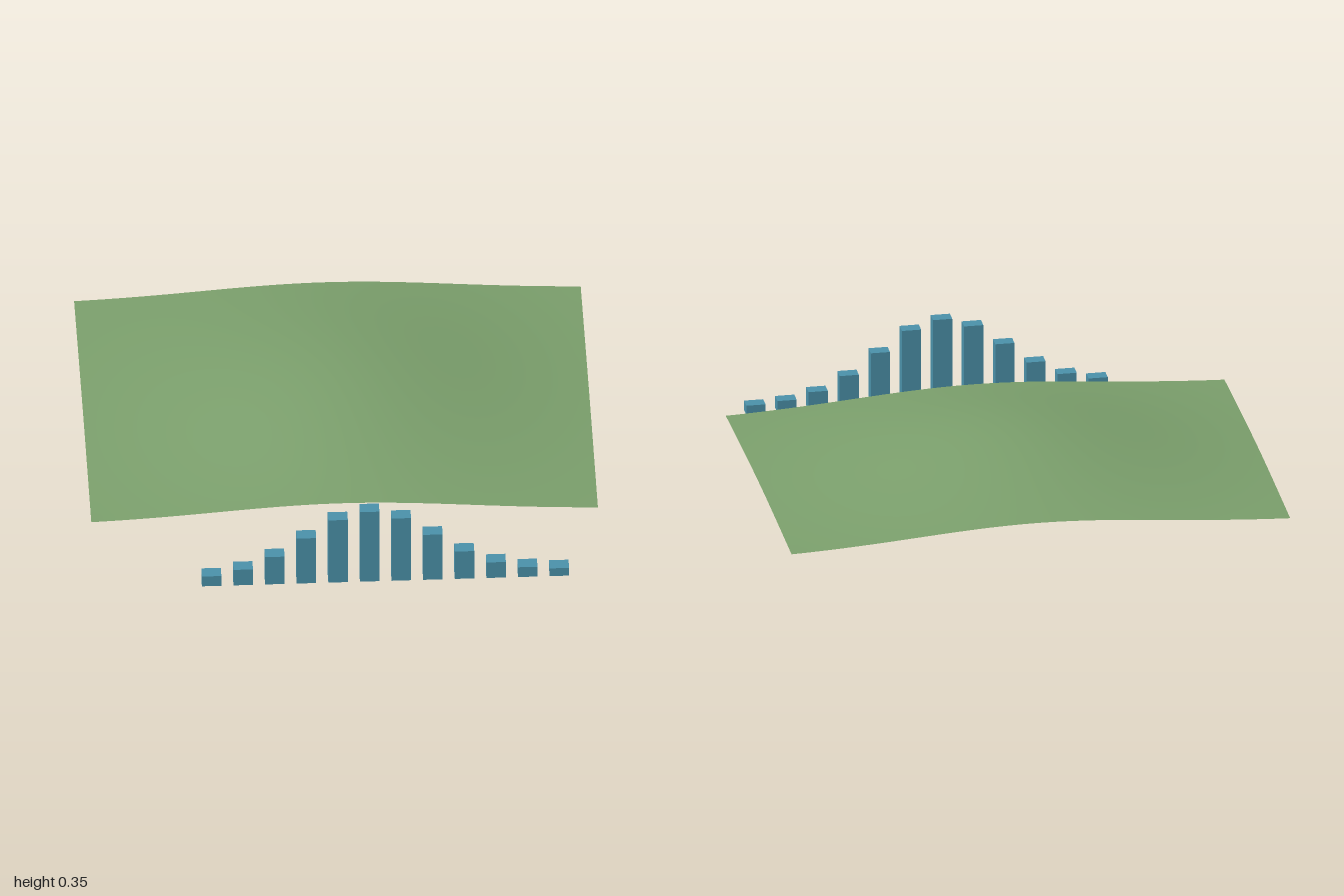
import * as THREE from 'three';

const CENTRE_Z = -0.148;

// Gently domed rectangular sheet
function makeSheet() {
  const geometry = new THREE.PlaneGeometry(2, 1.422, 48, 36).rotateX(-Math.PI / 2);
  const p = geometry.attributes.position;
  for (let i = 0; i < p.count; i++) {
    const x = p.getX(i), z = p.getZ(i);
    p.setY(i, 0.098 + 0.167 * Math.exp(-2.04 * x * x - 1.82 * z * z));
  }
  geometry.computeVertexNormals();
  const sheet = new THREE.Mesh(geometry, new THREE.MeshStandardMaterial({ color: 0x7a9e6b, side: THREE.DoubleSide }));
  sheet.name = 'domedSheet';
  sheet.position.z = CENTRE_Z;
  return sheet;
}

// Slightly bowed, capped pipe under the sheet
function makePipe(material) {
  const radius = 0.028;
  const curve = new THREE.CatmullRomCurve3([
    new THREE.Vector3(-0.667, 0.09, -0.146),
    new THREE.Vector3(0.02, 0.072, -0.19),
    new THREE.Vector3(0.706, 0.056, -0.146),
  ]);
  const pipe = new THREE.Group();
  pipe.name = 'pipe';
  const wall = new THREE.Mesh(new THREE.TubeGeometry(curve, 40, radius, 16), material);
  wall.name = 'pipeWall';
  pipe.add(wall);
  for (const [t, direction] of [[0, -1], [1, 1]]) {
    const cap = new THREE.Mesh(new THREE.CircleGeometry(radius, 16), material);
    cap.name = t ? 'leftPipeCap' : 'rightPipeCap';
    cap.position.copy(curve.getPoint(t));
    const outward = curve.getTangent(t).multiplyScalar(direction);
    cap.quaternion.setFromUnitVectors(new THREE.Vector3(0, 0, 1), outward);
    pipe.add(cap);
  }
  return pipe;
}

// Row of bars whose heights follow a bell curve
function makeBars(material) {
  const bars = new THREE.Group();
  bars.name = 'barRow';
  for (let n = -5; n <= 6; n++) {
    const height = 0.035 + 0.312 * Math.exp(-n * n / 8);
    const bar = new THREE.Mesh(new THREE.BoxGeometry(0.077, height, 0.053), material);
    bar.name = `bar${n + 6}`;
    bar.position.set(0.085 + n * 0.1248, height / 2, 0.832);
    bars.add(bar);
  }
  return bars;
}

export function createModel() {
  const model = new THREE.Group();
  model.name = 'domedSheetWithBars';
  const blue = new THREE.MeshStandardMaterial({ color: 0x4a90a8 });
  model.add(makeSheet(), makePipe(blue), makeBars(blue));
  return model;
}
